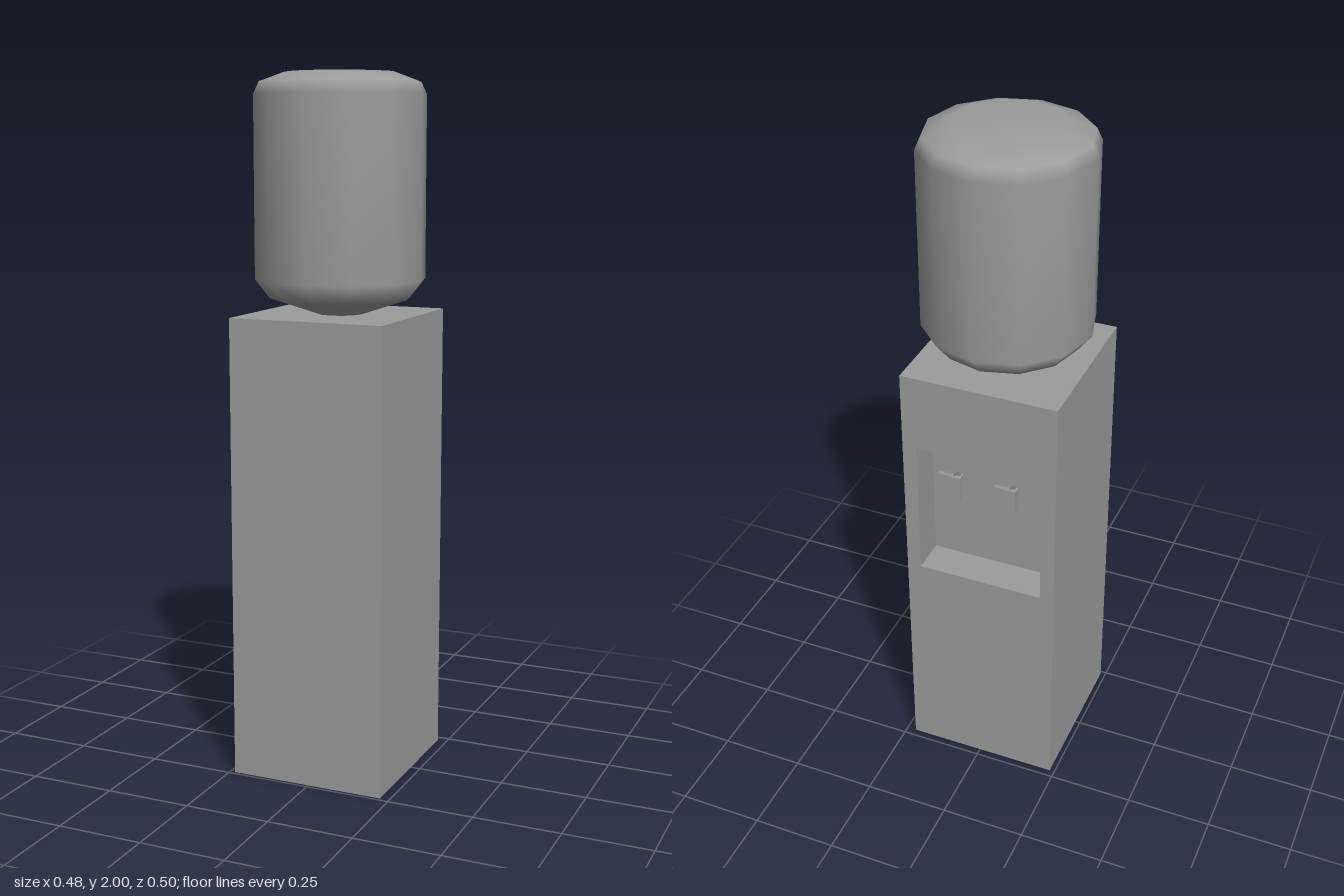
import * as THREE from 'three';

const material = new THREE.MeshStandardMaterial({ color: 0x9c9c9c });

// Four corners, anticlockwise as seen from +z; the top pair may lean to zTop
const ring = (x0, x1, y0, y1, z, zTop = z) => [[x0, y0, z], [x1, y0, z], [x1, y1, zTop], [x0, y1, zTop]];

// Hard-edged skin over four-cornered rings running towards -z, capped at both ends
function loft(rings) {
  const pos = [];
  const quad = (a, b, c, d) => pos.push(...a, ...b, ...c, ...a, ...c, ...d);
  quad(...rings[0]);
  for (let r = 0; r < rings.length - 1; r++) {
    const a = rings[r], b = rings[r + 1];
    for (let i = 0; i < 4; i++) {
      const j = (i + 1) % 4;
      quad(a[i], b[i], b[j], a[j]);
    }
  }
  quad(...[...rings[rings.length - 1]].reverse());
  const geometry = new THREE.BufferGeometry();
  geometry.setAttribute('position', new THREE.Float32BufferAttribute(pos, 3));
  geometry.computeVertexNormals();
  return geometry;
}

function add(parent, name, geometry, x = 0, y = 0, z = 0) {
  const mesh = new THREE.Mesh(geometry, material);
  mesh.name = name;
  mesh.position.set(x, y, z);
  parent.add(mesh);
}

export function createModel() {
  const model = new THREE.Group();
  model.name = 'waterCooler';

  // Cabinet with the dispensing recess sunk into its -z side
  add(model, 'cabinet', loft([
    ring(-0.235, 0.222, 0, 1.332, 0.24),
    ring(-0.235, 0.222, 0, 1.332, -0.228),
    ring(-0.193, 0.18, 0.684, 1.105, -0.228),
    ring(-0.193, 0.18, 0.684, 1.105, -0.122),
  ]));

  // Twelve-sided bottle with softly shaded shoulders
  const profile = [
    [0, 1.33], [0.065, 1.332], [0.2, 1.377], [0.242, 1.43],
    [0.242, 1.94], [0.226, 1.974], [0.155, 2], [0, 2],
  ].map(([r, y]) => new THREE.Vector2(r, y));
  add(model, 'bottle', new THREE.LatheGeometry(profile, 12), 0, 0, 0.009);

  // Pair of taps: a spout with a sloping lever that flares outwards
  for (const x of [-0.088, 0.079]) {
    const tap = new THREE.Group();
    tap.name = 'tap';
    tap.position.x = x;
    add(tap, 'spout', new THREE.BoxGeometry(0.034, 0.072, 0.025), 0, 0.977, -0.188);
    add(tap, 'lever', loft([
      ring(-0.012, 0.012, 1.008, 1.016, -0.181, -0.178),
      ring(-0.014, 0.014, 1.033, 1.041, -0.208, -0.205),
      ring(-0.022, 0.022, 1.057, 1.065, -0.253, -0.25),
    ]));
    model.add(tap);
  }
  return model;
}
